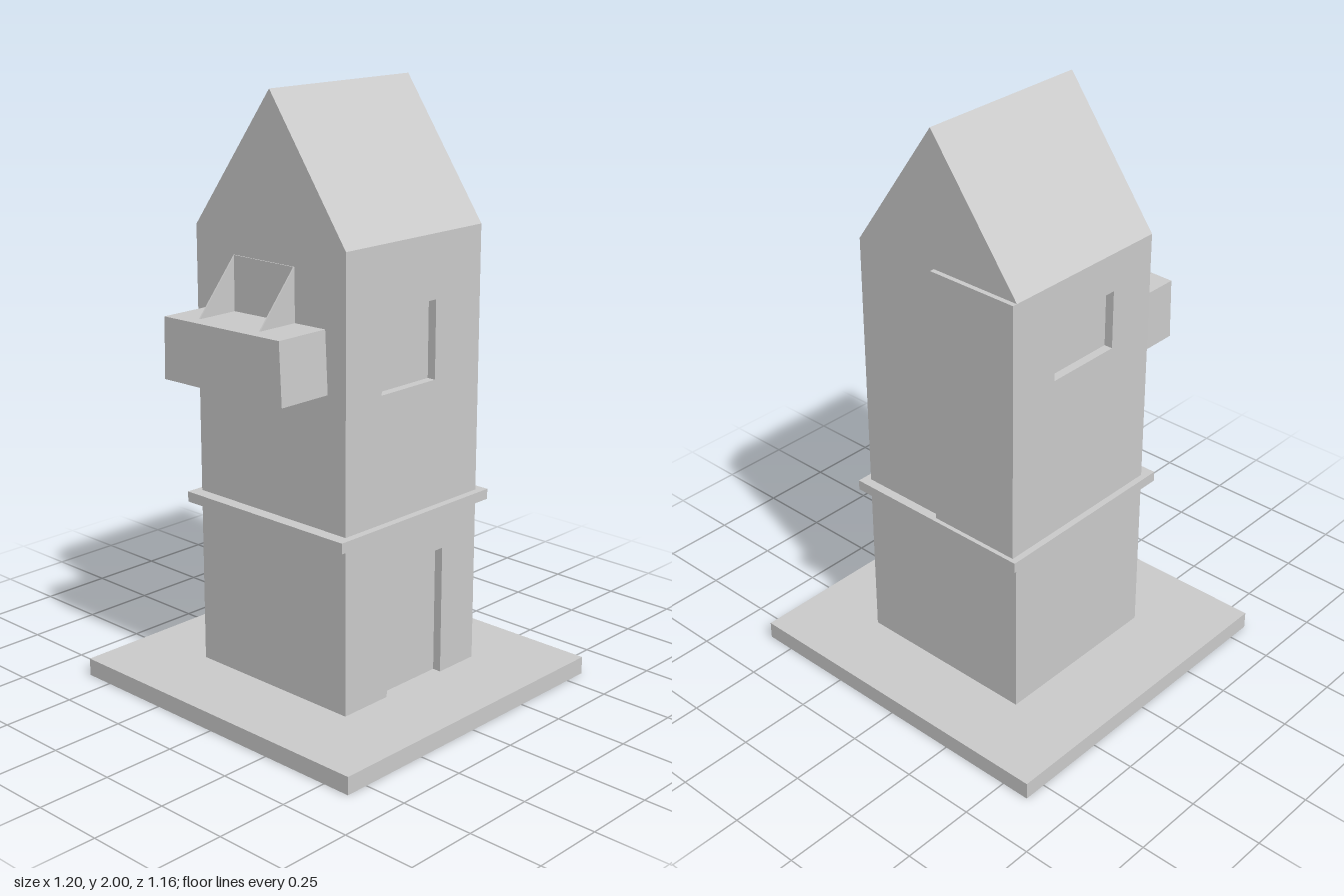
import * as THREE from 'three';

const material = new THREE.MeshStandardMaterial({ color: 0xcccccc, flatShading: true, side: THREE.DoubleSide });

function addMesh(parent, name, geometry, x = 0, y = 0, z = 0) {
  const mesh = new THREE.Mesh(geometry, material);
  mesh.name = name;
  mesh.position.set(x, y, z);
  parent.add(mesh);
  return mesh;
}

const shapeOf = (points) => new THREE.Shape(points.map(([a, b]) => new THREE.Vector2(a, b)));

// Box given by its minimum and maximum corners
function addBox(parent, name, [x0, y0, z0], [x1, y1, z1]) {
  const geometry = new THREE.BoxGeometry(x1 - x0, y1 - y0, z1 - z0);
  return addMesh(parent, name, geometry, (x0 + x1) / 2, (y0 + y1) / 2, (z0 + z1) / 2);
}

// Outline in (x, y), extruded from z0 to z1
function addAlongZ(parent, name, points, z0, z1) {
  const geometry = new THREE.ExtrudeGeometry(shapeOf(points), { depth: z1 - z0, bevelEnabled: false });
  return addMesh(parent, name, geometry, 0, 0, z0);
}

// Outline in (z, y), extruded from x0 to x1, with optional openings
function addAlongX(parent, name, points, x0, x1, openings = []) {
  const flip = (list) => list.map(([z, y]) => [-z, y]);
  const shape = shapeOf(flip(points));
  openings.forEach((opening) => shape.holes.push(shapeOf(flip(opening))));
  const geometry = new THREE.ExtrudeGeometry(shape, { depth: x1 - x0, bevelEnabled: false });
  geometry.rotateY(Math.PI / 2);
  return addMesh(parent, name, geometry, x0, 0, 0);
}

export function createModel() {
  const model = new THREE.Group();
  model.name = 'towerHouse';

  const half = 0.325, inner = 0.295; // outer wall and bottom of the recesses
  const back = -0.325, front = 0.3, floor = 0.06, eaves = 1.55;

  // Ground slab
  addBox(model, 'baseSlab', [-0.6, 0, -0.58], [0.6, floor, 0.58]);

  // Core with the gabled roof
  addAlongZ(model, 'towerCoreAndRoof', [
    [-inner, floor], [inner, floor], [inner, eaves], [half, eaves],
    [0.01, 2], [-half, eaves], [-inner, eaves],
  ], back, front);

  // Left wall with a notch for the door and a window opening
  addAlongX(model, 'leftWall', [
    [front, floor], [0.105, floor], [0.105, 0.5], [-0.16, 0.5], [-0.16, floor],
    [back, floor], [back, eaves], [front, eaves],
  ], inner, half, [[[0.14, 1.08], [-0.11, 1.08], [-0.11, 1.34], [0.13, 1.34]]]);

  // Right wall with a smaller, higher window
  addAlongX(model, 'rightWall', [
    [front, floor], [back, floor], [back, eaves], [front, eaves],
  ], -half, -inner, [[[0.12, 1.22], [-0.155, 1.22], [-0.155, 1.42], [0.12, 1.42]]]);

  // Ledge between the storeys
  addBox(model, 'ledge', [-0.347, 0.625, -0.357], [0.35, 0.66, 0.343]);

  // Raised panel on the back
  addBox(model, 'backPanel', [-half, 0.65, -0.342], [0.007, eaves, back]);

  // Slightly uneven balcony
  addAlongZ(model, 'balcony', [
    [-0.27, 1.09], [0.25, 1.1], [0.24, 1.303], [-0.265, 1.293],
  ], front, 0.495);

  // Opening above the balcony: two slanted cheeks and a thin back
  const cheek = [[front, 1.29], [0.455, 1.29], [front, 1.475]];
  addAlongX(model, 'rightCheek', cheek, -0.155, -0.15);
  addAlongX(model, 'leftCheek', cheek, 0.107, 0.112);
  addBox(model, 'doorwayBack', [-0.15, 1.29, front], [0.107, 1.475, 0.304]);

  return model;
}
